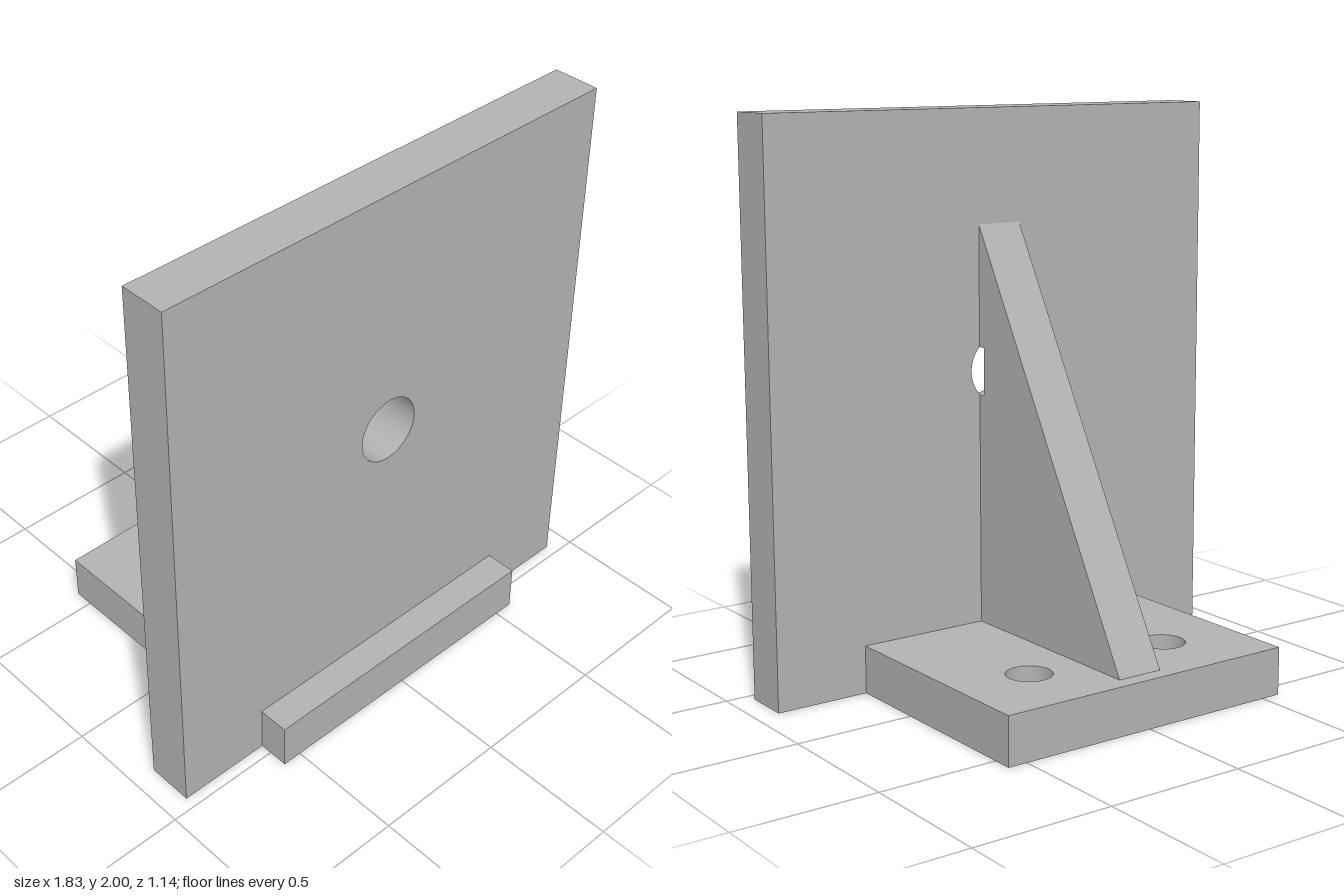
import * as THREE from 'three';
import { toCreasedNormals } from 'three/addons/utils/BufferGeometryUtils.js';

const T = 0.171;                    // thickness of every plate
const BACK = 0.286;                 // rear face of the upright plate
const BASE = 0.571;                 // half side of the square base
const HOLE_Y = 1.086, HOLE_R = 0.12;

const polygon = (points) => new THREE.Shape(points.map(([x, y]) => new THREE.Vector2(x, y)));

function drill(shape, x, y, r) {
  shape.holes.push(new THREE.Path().absarc(x, y, r, 0, Math.PI * 2, true));
}

function extrude(shape, steps = 1) {
  return new THREE.ExtrudeGeometry(shape, { depth: T, steps, bevelEnabled: false, curveSegments: 48 });
}

export function createModel() {
  const group = new THREE.Group();
  const grey = new THREE.MeshStandardMaterial({ color: 0xb2b2b2 });
  grey.name = 'grey';

  const add = (name, geometry) => {
    const mesh = new THREE.Mesh(toCreasedNormals(geometry, 0.5), grey);
    mesh.name = name;
    group.add(mesh);
  };

  // Upright plate, notched at the bottom where the base passes through
  const upright = polygon([
    [-0.914, 0], [-BASE, 0], [-BASE, T], [BASE, T], [BASE, 0], [0.914, 0], [0.914, 2], [-0.914, 2],
  ]);
  drill(upright, 0, HOLE_Y, HOLE_R);
  add('uprightPlate', extrude(upright).translate(0, 0, BACK));

  // Base plate with two bolt holes behind the upright
  const base = polygon([[-BASE, -BASE], [BASE, -BASE], [BASE, BASE], [-BASE, BASE]]);
  for (const side of [-1, 1]) drill(base, side * 0.286, -0.286, 0.08);
  add('basePlate', extrude(base).rotateX(Math.PI / 2).translate(0, T, 0));

  // Triangular gusset, drawn in z and y, with a shallow notch where the bore ends
  const chord = Math.sqrt(HOLE_R ** 2 - (T / 2) ** 2);
  const notch = 0.26;
  const gusset = extrude(polygon([
    [-0.514, T], [BACK, T],
    [BACK, HOLE_Y - chord], [notch, HOLE_Y - chord],
    [notch, HOLE_Y + chord], [BACK, HOLE_Y + chord],
    [BACK, 1.6],
  ]), 16).translate(0, 0, -T / 2).rotateY(-Math.PI / 2);

  // Round the notch to follow the bore across the gusset's width
  const p = gusset.attributes.position;
  for (let i = 0; i < p.count; i++) {
    const dy = p.getY(i) - HOLE_Y;
    if (p.getZ(i) > 0.2 && Math.abs(dy) < HOLE_R) {
      p.setY(i, HOLE_Y + Math.sign(dy) * Math.sqrt(HOLE_R ** 2 - p.getX(i) ** 2));
    }
  }
  add('gusset', gusset);

  return group;
}
